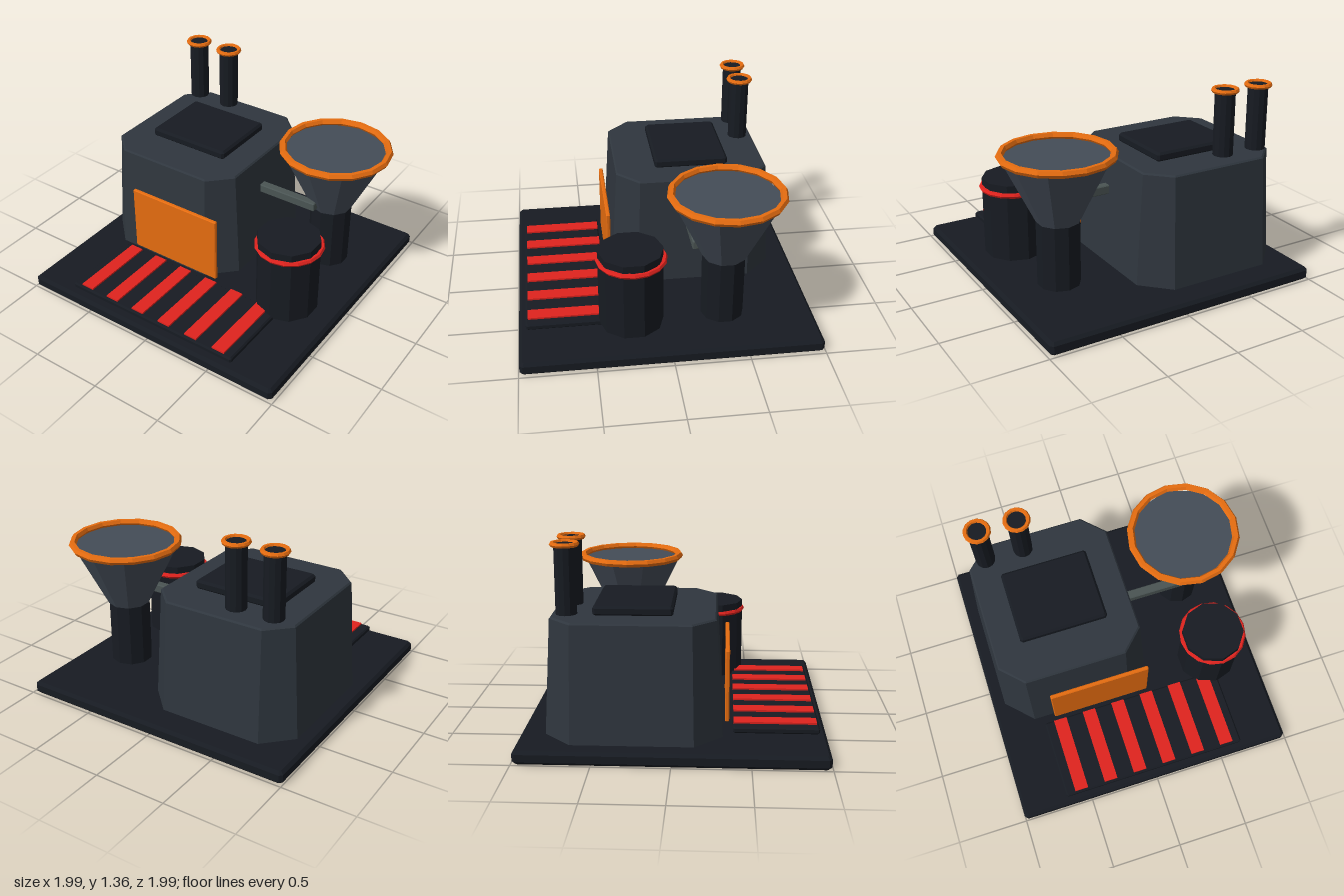
import * as THREE from 'three';

const mat = (color) => new THREE.MeshStandardMaterial({ color, flatShading: true, side: THREE.DoubleSide });
const DARK = mat(0x171b22);
const BODY = mat(0x2f363e);
const STEEL = mat(0x444c57);
const PIPE = mat(0x4a5453);
const ORANGE = mat(0xe56c10);
const RED = mat(0xe0231e);

// Solid lofted through stacked rectangles with cut corners: [y, halfX, halfZ, cut]
function loft(rings) {
  const pos = [], idx = [], n = 8;
  for (const [y, a, b, c] of rings) {
    const corners = [
      [a, b - c], [a - c, b], [c - a, b], [-a, b - c],
      [-a, c - b], [c - a, -b], [a - c, -b], [a, c - b],
    ];
    for (const [x, z] of corners) pos.push(x, y, z);
  }
  for (let r = 0; r < rings.length - 1; r++) {
    for (let i = 0; i < n; i++) {
      const p = r * n + i, q = r * n + (i + 1) % n;
      idx.push(p, p + n, q, q, p + n, q + n);
    }
  }
  const top = (rings.length - 1) * n;
  for (let i = 1; i < n - 1; i++) {
    idx.push(0, i, i + 1);
    idx.push(top, top + i + 1, top + i);
  }
  const g = new THREE.BufferGeometry();
  g.setAttribute('position', new THREE.Float32BufferAttribute(pos, 3));
  g.setIndex(idx);
  const flat = g.toNonIndexed();
  flat.computeVertexNormals();
  return flat;
}

// Box with chamfered edges, standing on y = 0
function slab(w, h, d, c) {
  const a = w / 2, b = d / 2;
  return loft([
    [0, a - c, b - c, c / 2],
    [c, a, b, c],
    [h - c, a, b, c],
    [h, a - c, b - c, c / 2],
  ]);
}

export function createModel() {
  const model = new THREE.Group();

  function add(name, geometry, material, x, y, z) {
    const m = new THREE.Mesh(geometry, material);
    m.name = name;
    m.position.set(x, y, z);
    model.add(m);
    return m;
  }
  // Upright cylinder or cone between two heights
  const post = (name, material, x, z, y0, y1, r0, r1, sides) =>
    add(name, new THREE.CylinderGeometry(r1, r0, y1 - y0, sides), material, x, (y0 + y1) / 2, z);
  // Horizontal ring
  const ring = (name, material, x, y, z, r, tube, sides) =>
    add(name, new THREE.TorusGeometry(r, tube, 6, sides).rotateX(Math.PI / 2), material, x, y, z);

  // Ground plate
  add('basePlate', slab(1.985, 0.09, 1.985, 0.02), DARK, -0.007, 0.005, 0);

  // Tapered furnace body with cut corners
  add('furnaceBody', loft([
    [0.11, 0.543, 0.57, 0.18],
    [0.875, 0.498, 0.525, 0.148],
    [0.885, 0.488, 0.515, 0.144],
  ]), BODY, -0.368, 0, -0.25);
  add('roofHatch', slab(0.61, 0.065, 0.51, 0.015), DARK, -0.365, 0.88, -0.255);

  // Front door
  add('frontDoor', slab(0.71, 0.485, 0.028, 0.006), ORANGE, -0.23, 0.155, 0.347);

  // Pair of chimneys
  for (const x of [-0.735, -0.468]) {
    post('chimney', DARK, x, -0.66, 0.915, 1.355, 0.068, 0.068, 12);
    ring('chimneyRim', ORANGE, x, 1.353, -0.66, 0.077, 0.016, 14);
  }

  // Striped loading ramp
  add('ramp', slab(1.325, 0.042, 0.56, 0.01), DARK, -0.008, 0.11, 0.665);
  for (let i = 0; i < 6; i++) {
    add('rampStripe', new THREE.BoxGeometry(0.095, 0.014, 0.54), RED, -0.555 + i * 0.22, 0.157, 0.66);
  }

  // Storage drum with its band
  post('drum', DARK, 0.635, 0.245, 0.13, 0.68, 0.215, 0.215, 10);
  ring('drumBand', RED, 0.638, 0.615, 0.24, 0.217, 0.018, 16);

  // Hopper: stem, funnel and rim
  post('hopperStem', DARK, 0.607, -0.37, 0.13, 0.575, 0.145, 0.145, 10);
  post('hopperFunnel', STEEL, 0.607, -0.375, 0.575, 1.01, 0.145, 0.358, 10);
  ring('hopperRim', ORANGE, 0.607, 1.025, -0.38, 0.362, 0.026, 16);

  // Beam joining the furnace and the hopper
  add('feedPipe', slab(0.48, 0.062, 0.06, 0.006), PIPE, 0.34, 0.607, -0.198);

  return model;
}
